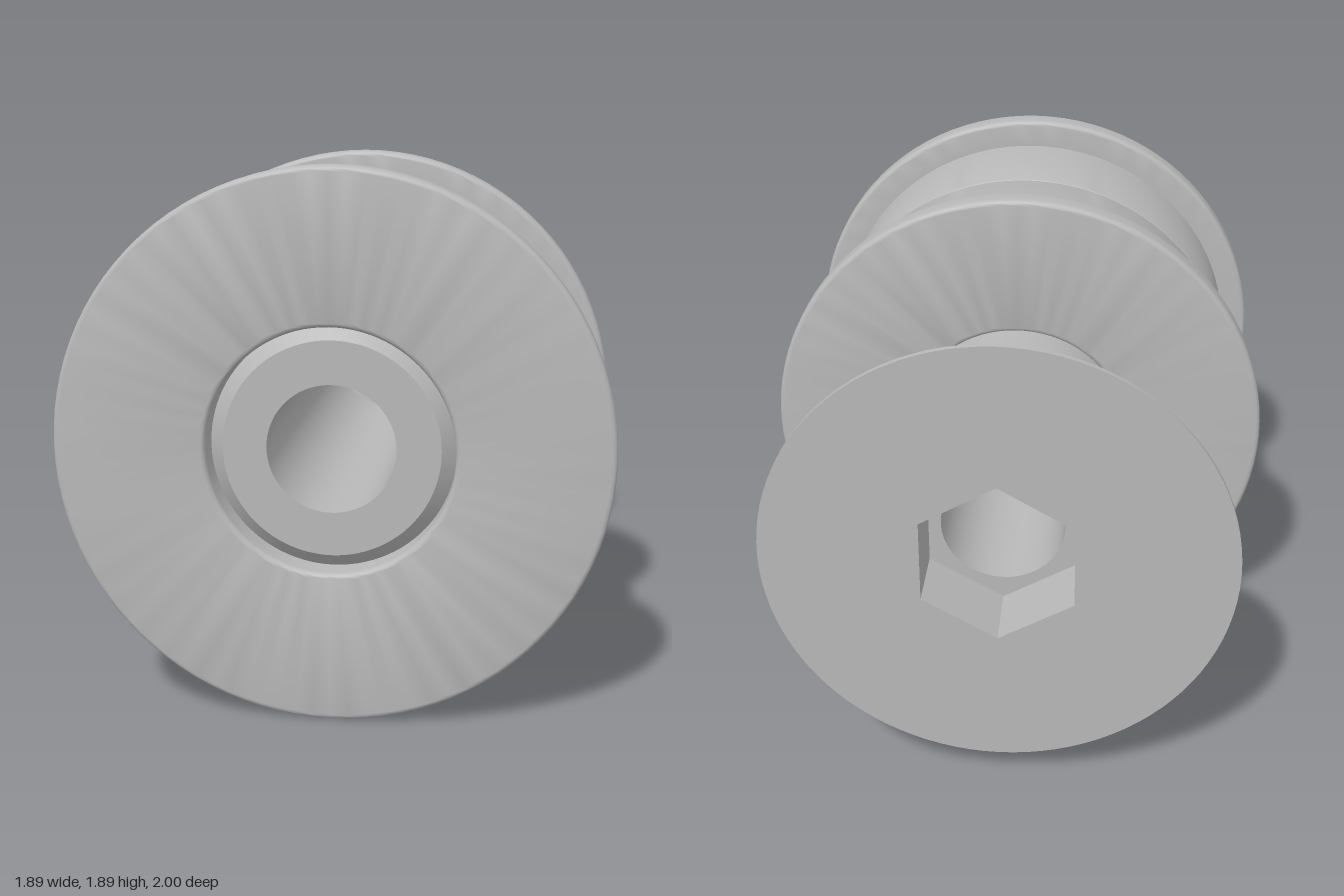
import * as THREE from 'three';
import { toCreasedNormals } from 'three/addons/utils/BufferGeometryUtils.js';

const AXIS_Y = 0.945; // height of the common axis
const SEGMENTS = 96;

// Revolve a closed (radius, z) profile around the z axis, keeping corners sharp.
function revolve(points) {
  const lathe = new THREE.LatheGeometry(points, SEGMENTS).rotateX(Math.PI / 2);
  return toCreasedNormals(lathe, 0.5);
}

// One half of the roller: drum, flange and rounded edges; z = 0 is the middle seam.
function rollerHalfProfile() {
  const bore = 0.42, drum = 0.84, flange = 0.945, start = 0.425, end = 0.525;
  const f = 0.02, s = 0.01;
  const p = new THREE.Path();
  p.moveTo(bore, 0);
  p.lineTo(drum - s, 0);
  p.absarc(drum - s, s, s, -Math.PI / 2, 0, false);
  p.lineTo(drum, start);
  p.lineTo(flange - f, start);
  p.absarc(flange - f, start + f, f, -Math.PI / 2, 0, false);
  p.absarc(flange - f, end - f, f, 0, Math.PI / 2, false);
  p.lineTo(bore + f, end);
  p.absarc(bore + f, end - f, f, Math.PI / 2, Math.PI, false);
  p.lineTo(bore, 0);
  return p.getPoints(3);
}

export function createModel() {
  const model = new THREE.Group();
  model.name = 'flangedRoller';
  const grey = new THREE.MeshStandardMaterial({ color: 0xb8b8b8 });
  grey.name = 'grey';

  const add = (name, geometry, parent) => {
    const mesh = new THREE.Mesh(geometry, grey);
    mesh.name = name;
    parent.add(mesh);
    return mesh;
  };

  // Two identical flanged halves, back to back at the seam
  const half = revolve(rollerHalfProfile());
  const front = add('frontRollerHalf', half, model);
  const back = add('backRollerHalf', half, model);
  back.rotation.y = Math.PI;
  for (const m of [front, back]) m.position.set(0, AXIS_Y, 0.475);

  // Hollow countersunk bolt: bore, chamfered tip, shank, conical head
  const bolt = new THREE.Group();
  bolt.name = 'bolt';
  bolt.position.y = AXIS_Y;
  model.add(bolt);
  const socketZ = -0.75, headZ = -1, sleeveR = 0.5;
  const profile = [
    [sleeveR, headZ], [0.82, headZ], [0.82, -0.98], [0.42, -0.58],
    [0.42, 0.895], [0.37, 0.945], [0.22, 0.945], [0.22, socketZ],
    [sleeveR, socketZ], [sleeveR, headZ],
  ].map(([r, z]) => new THREE.Vector2(r, z));
  add('boltBody', revolve(profile), bolt);

  // Hexagonal socket cut through the core of the head, corners up and down
  const core = new THREE.Shape().absarc(0, 0, sleeveR, 0, Math.PI * 2, false);
  const hex = [];
  for (let i = 0; i < 6; i++) {
    const a = Math.PI / 2 + (i * Math.PI) / 3;
    hex.push(new THREE.Vector2(0.305 * Math.cos(a), 0.305 * Math.sin(a)));
  }
  core.holes.push(new THREE.Path(hex));
  const socket = new THREE.ExtrudeGeometry(core, {
    depth: socketZ - headZ, bevelEnabled: false, curveSegments: SEGMENTS / 2,
  });
  add('hexSocket', socket, bolt).position.z = headZ;

  return model;
}
